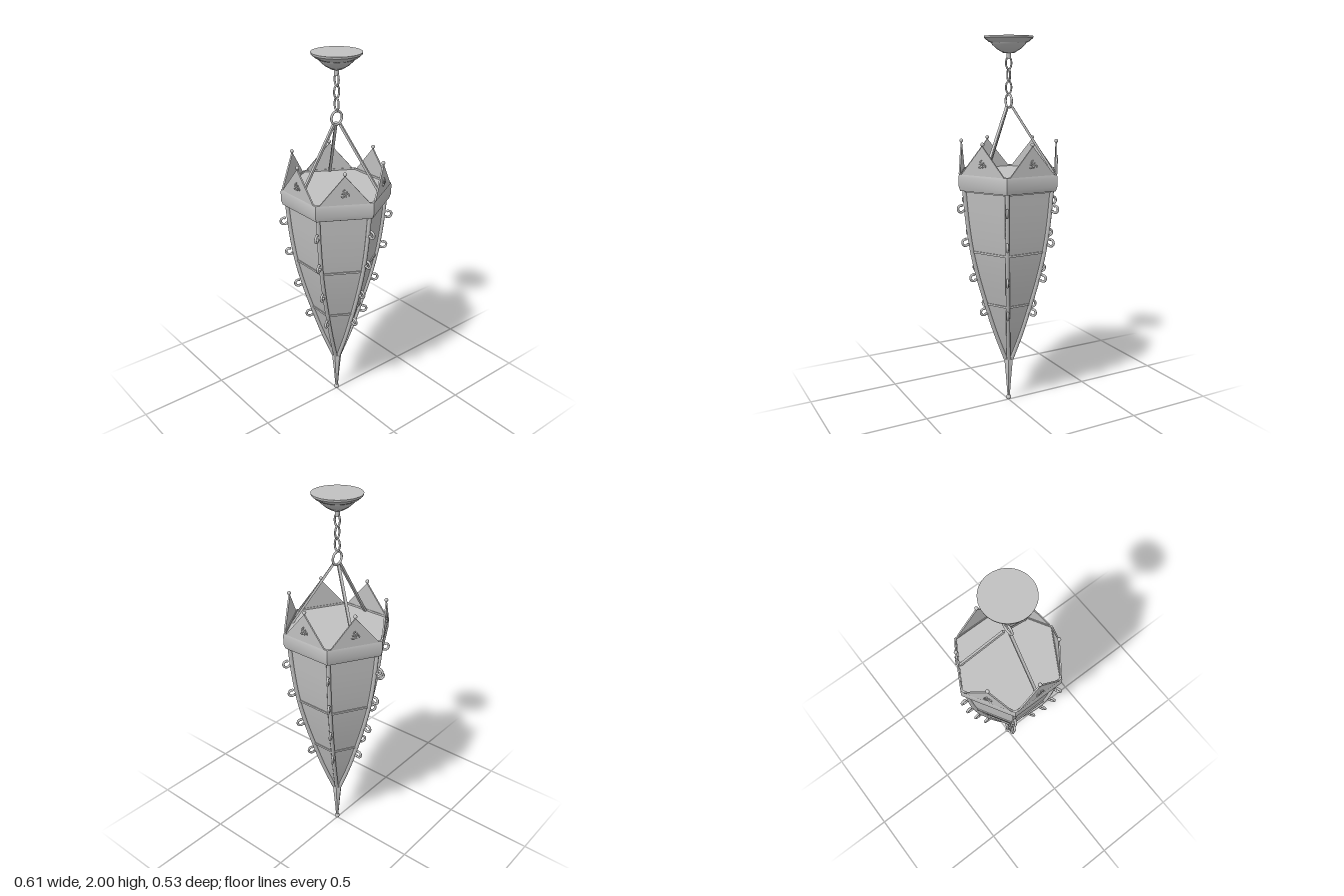
import * as THREE from 'three';
import { toCreasedNormals } from 'three/addons/utils/BufferGeometryUtils.js';

const iron = new THREE.MeshStandardMaterial({ color: 0xc0c0c0 });
iron.name = 'paleIron';
const SIDE = Math.PI / 3;
const APOTHEM = Math.cos(Math.PI / 6);
const V2 = (p) => new THREE.Vector2(p[0], p[1]);
const V3 = (x, y, z) => new THREE.Vector3(x, y, z);

// Corner radius against height, from the tip up to the rim
const PROFILE = [[0.02, 0.25], [0.085, 0.42], [0.14, 0.59], [0.187, 0.75],
  [0.222, 0.9], [0.246, 1.06], [0.262, 1.23]];
const corner = new THREE.CatmullRomCurve3(PROFILE.map(([r, y]) => V3(r, y, 0)));
const cornerAt = (y) => {
  let lo = 0, hi = 1;
  for (let i = 0; i < 24; i++) {
    const m = (lo + hi) / 2;
    if (corner.getPoint(m).y < y) lo = m; else hi = m;
  }
  return corner.getPoint(lo).x;
};

function add(parent, name, geometry, x = 0, y = 0, z = 0) {
  const mesh = new THREE.Mesh(geometry, iron);
  mesh.name = name;
  mesh.position.set(x, y, z);
  parent.add(mesh);
  return mesh;
}

// Turned shape; six segments put a corner on +x
function turned(points, segments) {
  return toCreasedNormals(new THREE.LatheGeometry(points, segments, Math.PI / 2), 0.55);
}

// Straight bar between two points of the parent's space
function bar(parent, name, a, b, w, d) {
  const mesh = add(parent, name, new THREE.BoxGeometry(w, d, a.distanceTo(b)));
  mesh.position.copy(a).add(b).multiplyScalar(0.5);
  mesh.quaternion.setFromUnitVectors(V3(0, 0, 1), b.clone().sub(a).normalize());
}

// Closed oval chain link in the xy plane
function link(rx, ry, tube) {
  const pts = [];
  for (let i = 0; i < 16; i++) {
    const a = i * Math.PI / 8;
    pts.push(V3(rx * Math.cos(a), ry * Math.sin(a), 0));
  }
  return new THREE.TubeGeometry(new THREE.CatmullRomCurve3(pts, true), 32, tube, 8, true);
}

function gable() {
  const shape = new THREE.Shape([[-0.128, 0], [0.128, 0], [0, 0.15]].map(V2));
  return new THREE.ExtrudeGeometry(shape, { depth: 0.008, bevelEnabled: false });
}

// Flat open curl for the trefoil
function curl() {
  const shape = new THREE.Shape();
  shape.absarc(0, 0, 0.0115, 0, Math.PI * 1.5, false);
  shape.absarc(0, 0, 0.006, Math.PI * 1.5, 0, true);
  return new THREE.ExtrudeGeometry(shape, { depth: 0.006, bevelEnabled: false, curveSegments: 12 });
}

export function createModel() {
  const model = new THREE.Group();
  model.name = 'hangingLantern';

  // Ceiling canopy
  add(model, 'canopy', turned([[0, 1.885], [0.012, 1.885], [0.012, 1.915], [0.03, 1.917],
    [0.06, 1.935], [0.085, 1.957], [0.09, 1.966], [0.105, 1.973], [0.125, 1.99],
    [0.127, 2], [0, 2]].map(V2), 48));

  // Chain and suspension ring
  [1.866, 1.805, 1.742].forEach((y, i) => {
    add(model, 'chainLink', link(0.016, 0.031, 0.005), 0, y, 0).rotation.y = i % 2 ? Math.PI / 2 : 0;
  });
  add(model, 'suspensionRing', new THREE.TorusGeometry(0.034, 0.006, 10, 32), 0, 1.673, 0).rotation.y = Math.PI / 2;

  // Three hanging rods
  for (let k = 0; k < 3; k++) {
    const g = new THREE.Group();
    g.name = 'hangingRod';
    g.rotation.y = k * 2 * SIDE;
    bar(g, 'rod', V3(0, 1.29, 0.243), V3(0, 1.643, 0.018), 0.014, 0.012);
    model.add(g);
  }

  // Rim, lid, panelled body, tip and ball
  add(model, 'rim', turned([[0.255, 1.222], [0.284, 1.222], [0.292, 1.245], [0.293, 1.295],
    [0.289, 1.308], [0.279, 1.31], [0.279, 1.298]].map(V2), 6));
  add(model, 'lid', turned([[0, 1.285], [0.281, 1.285], [0.281, 1.3], [0, 1.3]].map(V2), 6));
  add(model, 'panels', turned(corner.getPoints(36).map((p) => V2([Math.max(p.x - 0.006, 0.01), p.y])), 6));
  add(model, 'spike', turned([[0, 0.02], [0.007, 0.02], [0.017, 0.14], [0.028, 0.255], [0.018, 0.275], [0, 0.275]].map(V2), 6));
  add(model, 'tipBall', new THREE.SphereGeometry(0.0145, 16, 12), 0, 0.0145, 0);

  const ribGeometry = new THREE.TubeGeometry(corner, 40, 0.011, 8, false);
  const hookGeometry = new THREE.TorusGeometry(0.018, 0.0065, 8, 20, Math.PI * 1.3);
  const hookEndGeometry = new THREE.SphereGeometry(0.0075, 10, 8);
  const ballGeometry = new THREE.SphereGeometry(0.01, 14, 10);
  const stemGeometry = new THREE.CylinderGeometry(0.004, 0.004, 0.025, 10);
  const gableGeometry = gable();
  const curlGeometry = curl();

  for (let k = 0; k < 6; k++) {
    // Corner rib with its curled hooks, open towards the top of the rib
    const rib = new THREE.Group();
    rib.name = 'cornerRib';
    rib.rotation.y = k * SIDE;
    add(rib, 'rib', ribGeometry);
    for (const y of [1.127, 0.946, 0.747, 0.546]) {
      const r = cornerAt(y) + 0.027;
      const start = -Math.PI * 0.75, end = Math.PI * 0.55;
      add(rib, 'hook', hookGeometry, r, y, 0).rotation.z = start;
      for (const a of [start, end]) {
        add(rib, 'hookEnd', hookEndGeometry, r + 0.018 * Math.cos(a), y + 0.018 * Math.sin(a), 0);
      }
      bar(rib, 'hookFoot', V3(r - 0.028, y - 0.0127, 0), V3(r - 0.012, y - 0.0127, 0), 0.011, 0.011);
    }
    model.add(rib);

    // Cross bars, gable, finial and trefoil of one side
    const side = new THREE.Group();
    side.name = 'lanternSide';
    side.rotation.y = k * SIDE;
    for (const y of [0.59, 0.89, 1.218]) {
      const r = cornerAt(y) - 0.004;
      bar(side, 'crossBar', V3(-r / 2, y, r * APOTHEM), V3(r / 2, y, r * APOTHEM), 0.01, 0.01);
    }
    add(side, 'gable', gableGeometry, 0, 1.308, 0.246);
    add(side, 'finialStem', stemGeometry, 0, 1.453, 0.25);
    add(side, 'finialBall', ballGeometry, 0, 1.467, 0.25);
    for (let i = 0; i < 3; i++) {
      const a = Math.PI / 2 + i * 2 * SIDE;
      add(side, 'trefoilCurl', curlGeometry,
        0.0135 * Math.cos(a), 1.366 + 0.0135 * Math.sin(a), 0.254).rotation.z = a;
    }
    model.add(side);
  }
  return model;
}
